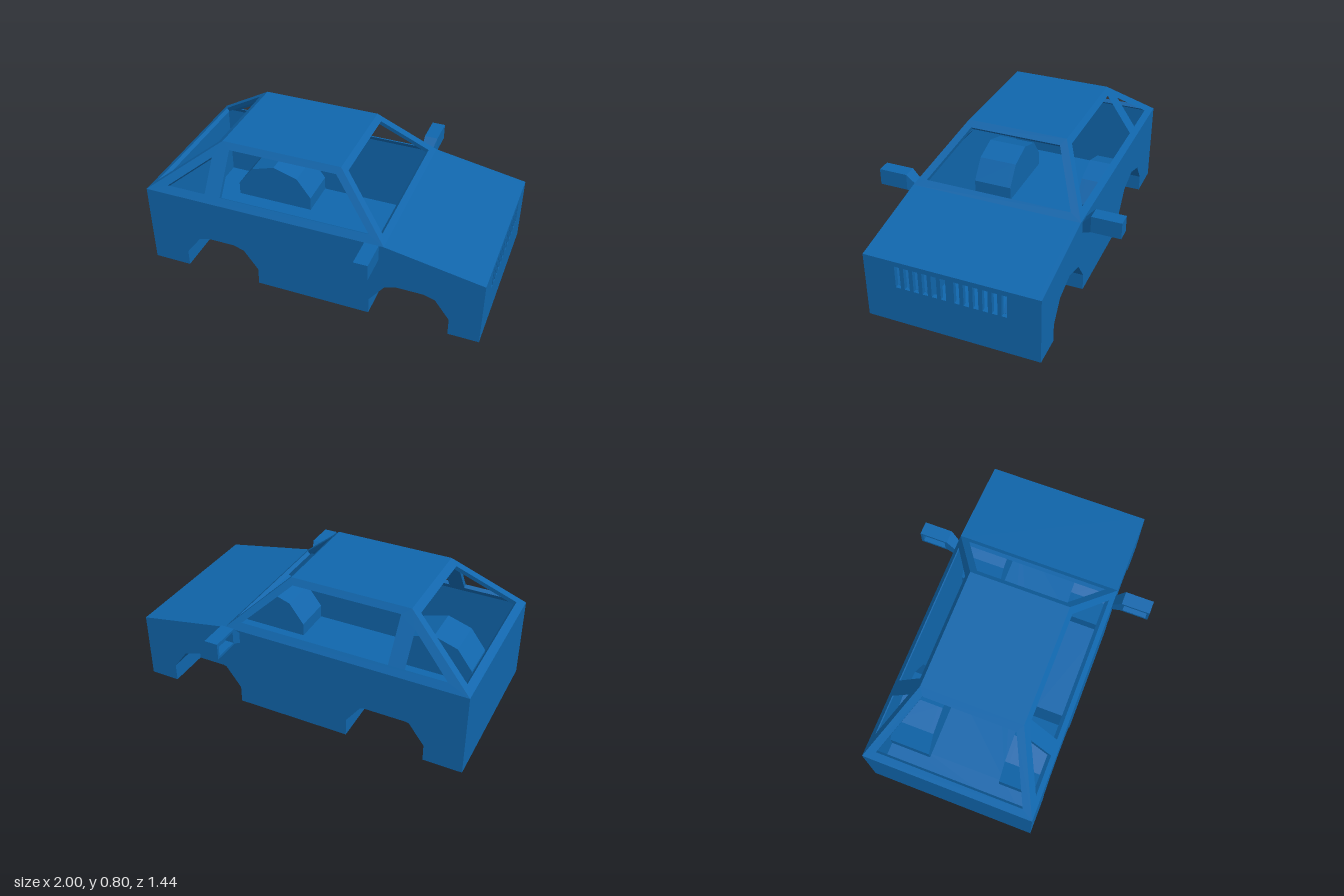
import * as THREE from 'three';

const T = 0.025; // wall thickness
const paint = new THREE.MeshStandardMaterial({ color: 0x1066ac });
paint.name = 'blue body paint';

const toPoints = (pts) => pts.map(([x, y]) => new THREE.Vector2(x, y));

// Flat plate cut from an outline with holes
function plate(outline, holes = [], depth = T) {
  const shape = new THREE.Shape(toPoints(outline));
  holes.forEach((h) => shape.holes.push(new THREE.Path(toPoints(h))));
  return new THREE.ExtrudeGeometry(shape, { depth, bevelEnabled: false });
}

const rect = (x0, y0, x1, y1) => [[x0, y0], [x1, y0], [x1, y1], [x0, y1]];

// Wheel arch outline around its centre
const arch = [[-0.23, 0], [-0.23, 0.1], [-0.14, 0.22], [0, 0.265], [0.145, 0.22], [0.23, 0.105], [0.23, 0]];
const archCentres = [-0.545, 0.593];
const archAt = (c, k = 1) => arch.map(([x, y]) => [c + x * k, y * k]);

// Sloping cabin panel: out is the horizontal direction it faces
function slopePanel(out, base, run, outline, holes) {
  const up = new THREE.Vector3(0, 1, 0);
  const u = up.clone().cross(out);
  const v = out.clone().multiplyScalar(-run).addScaledVector(up, 0.3);
  const stretch = v.length() / 0.3;
  v.normalize();
  const n = u.clone().cross(v);
  const lay = (pts) => pts.map(([s, y]) => [s, (y - 0.5) * stretch]);
  const geo = plate(lay(outline), holes.map(lay));
  geo.translate(0, 0, -T);
  const origin = out.clone().multiplyScalar(base).addScaledVector(up, 0.5);
  return geo.applyMatrix4(new THREE.Matrix4().makeBasis(u, v, n).setPosition(origin));
}

export function createModel() {
  const model = new THREE.Group();
  model.name = 'carBody';
  const add = (name, geo, x = 0, y = 0, z = 0) => {
    const mesh = new THREE.Mesh(geo, paint);
    mesh.name = name;
    mesh.position.set(x, y, z);
    model.add(mesh);
  };

  // Lower sides with wheel arches
  const side = [[-1, 0], ...archCentres.flatMap((c) => archAt(c)), [1, 0], [1, 0.4], [0.44, 0.5], [-1, 0.5]];
  add('leftSide', plate(side), 0, 0, 0.5 - T);
  add('rightSide', plate(side), 0, 0, -0.5);

  // Floor notched for the wheel wells
  const edge = archCentres.flatMap((c) => [[c - 0.23, -0.475], [c - 0.23, -0.25], [c + 0.23, -0.25], [c + 0.23, -0.475]]);
  const floor = [[-0.975, -0.475], ...edge, [0.975, -0.475],
    [0.975, 0.475], ...edge.map(([x, z]) => [x, -z]).reverse(), [-0.975, 0.475]];
  add('floor', plate(floor).rotateX(-Math.PI / 2));

  // Wheel wells: arched shell and inner wall
  for (const c of archCentres) {
    const ring = [...archAt(c, 1.1), ...archAt(c).reverse()];
    for (const s of [1, -1]) {
      add('wheelWellArch', plate(ring, [], 0.225), 0, 0, s > 0 ? 0.25 : -0.475);
      add('wheelWellWall', plate(archAt(c, 1.1)), 0, 0, s > 0 ? 0.225 : -0.25);
    }
  }

  // Nose with two rows of grille slots
  const slots = [];
  for (const s of [1, -1]) {
    for (let i = 0; i < 6; i++) {
      const z = s * (0.038 + 0.0527 * i);
      slots.push(rect(z - 0.015, 0.235, z + 0.015, 0.37));
    }
  }
  add('nose', plate(rect(-0.475, 0, 0.475, 0.4), slots).rotateY(Math.PI / 2), 1 - T);

  // Tail and hood
  add('tail', new THREE.BoxGeometry(T, 0.5, 0.95), -1 + T / 2, 0.25, 0);
  add('hood', plate([[0.44, 0.475], [1, 0.375], [1, 0.4], [0.44, 0.5]], [], 0.95), 0, 0, -0.475);

  // Roof
  add('roof', new THREE.BoxGeometry(0.71, T, 0.59), -0.235, 0.8 - T / 2, 0);

  // Cabin sides with door and quarter windows
  const cabin = [[-1, 0.5], [0.44, 0.5], [0.12, 0.8], [-0.59, 0.8]];
  const windows = [
    [[-0.87, 0.54], [-0.635, 0.54], [-0.635, 0.715]],
    [[-0.54, 0.54], [0.345, 0.54], [0.1, 0.765], [-0.54, 0.765]],
  ];
  for (const s of [1, -1]) {
    const flip = (pts) => pts.map(([x, y]) => [x * s, y]);
    add(s > 0 ? 'leftCabinSide' : 'rightCabinSide',
      slopePanel(new THREE.Vector3(0, 0, s), 0.5, 0.205, flip(cabin), windows.map(flip)));
  }

  // Windscreen and rear window frames
  const frame = [[-0.5, 0.5], [0.5, 0.5], [0.295, 0.8], [-0.295, 0.8]];
  const opening = [[-0.43, 0.53], [0.43, 0.53], [0.268, 0.77], [-0.268, 0.77]];
  add('windscreenFrame', slopePanel(new THREE.Vector3(1, 0, 0), 0.44, 0.32, frame, [opening]));
  add('rearWindowFrame', slopePanel(new THREE.Vector3(-1, 0, 0), 1, 0.41, frame, [opening]));

  // Door mirrors: tapered arm, hollow housing, recessed face
  for (const s of [1, -1]) {
    const arm = new THREE.BoxGeometry(0.08, 0.1, 0.06);
    const p = arm.attributes.position;
    for (let i = 0; i < p.count; i++) {
      const outer = p.getZ(i) * s > 0;
      const top = p.getY(i) > 0;
      const front = p.getX(i) > 0;
      p.setXYZ(i, front ? (outer ? 0.428 : 0.41) : 0.348,
        outer ? (top ? 0.545 : 0.447) : (top ? 0.475 : 0.415), s * (outer ? 0.55 : 0.49));
    }
    arm.computeVertexNormals();
    add('mirrorArm', arm);
    const housing = plate(rect(-0.085, -0.049, 0.085, 0.049), [rect(-0.07, -0.035, 0.07, 0.035)], 0.05);
    add('mirrorHousing', housing.rotateY(Math.PI / 2), 0.348, 0.496, s * 0.635);
    add('mirrorFace', new THREE.BoxGeometry(0.03, 0.098, 0.17), 0.413, 0.496, s * 0.635);
  }
  return model;
}
